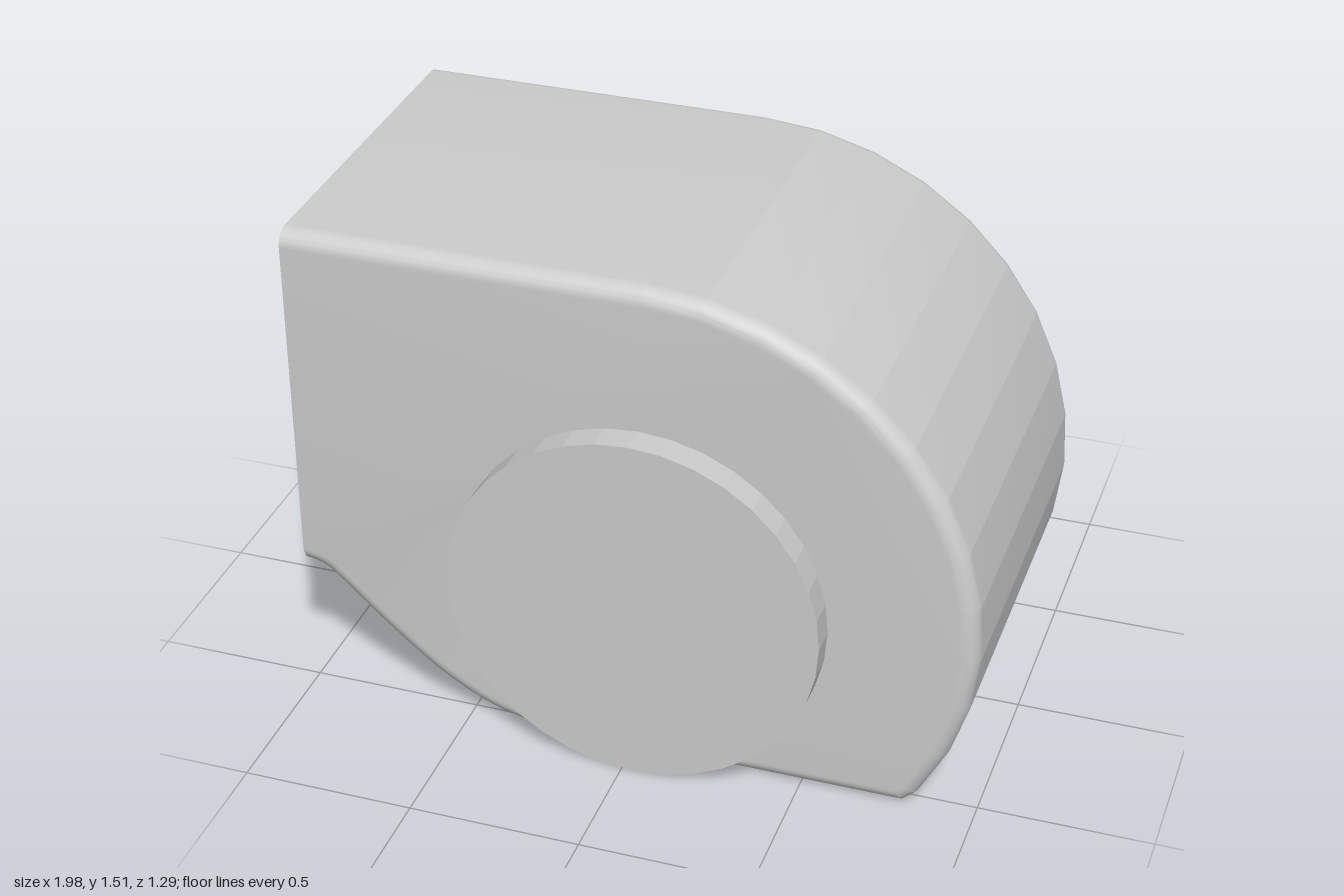
import * as THREE from 'three';
import { toCreasedNormals } from 'three/addons/utils/BufferGeometryUtils.js';

const BEVEL = 0.05;
const HALF_WIDTH = 0.56;
const END_X = -0.99;

// Side outline, inset by the bevel: flat top, round nose, flat foot, S-curved underside
function createProfile() {
  const shape = new THREE.Shape();
  shape.moveTo(END_X, 1.46);
  shape.lineTo(0.04, 1.46);
  shape.absarc(0.04, 0.56, 0.9, Math.PI / 2, -0.58, true);
  shape.lineTo(0.775, 0.05);
  shape.lineTo(-0.2, 0.05);
  shape.splineThru([
    [-0.31, 0.058], [-0.43, 0.092], [-0.57, 0.172], [-0.72, 0.295],
    [-0.86, 0.425], [-0.92, 0.47], [END_X, 0.487],
  ].map(([x, y]) => new THREE.Vector2(x, y)));
  shape.closePath();
  return shape;
}

export function createModel() {
  const group = new THREE.Group();
  const material = new THREE.MeshStandardMaterial({ color: 0xcccccc });

  // Housing with rounded rims
  const bodyGeometry = new THREE.ExtrudeGeometry(createProfile(), {
    depth: 2 * (HALF_WIDTH - BEVEL),
    bevelThickness: BEVEL,
    bevelSize: BEVEL,
    bevelSegments: 10,
    curveSegments: 6,
  });
  bodyGeometry.translate(0, 0, BEVEL - HALF_WIDTH);

  // Cut the bevel off square at the flat end
  const position = bodyGeometry.attributes.position;
  for (let i = 0; i < position.count; i++) {
    position.setX(i, Math.max(position.getX(i), END_X));
  }
  const body = new THREE.Mesh(toCreasedNormals(bodyGeometry, 0.17), material);
  body.name = 'housing';
  group.add(body);

  // Round hubs standing out on both sides
  const hubDepth = 0.2;
  const hubGeometry = toCreasedNormals(
    new THREE.CylinderGeometry(0.54, 0.54, hubDepth, 36).rotateX(Math.PI / 2), 0.1);
  for (const [name, side] of [['frontHub', 1], ['backHub', -1]]) {
    const hub = new THREE.Mesh(hubGeometry, material);
    hub.name = name;
    hub.position.set(0.03, 0.54, side * (0.645 - hubDepth / 2));
    group.add(hub);
  }
  return group;
}
